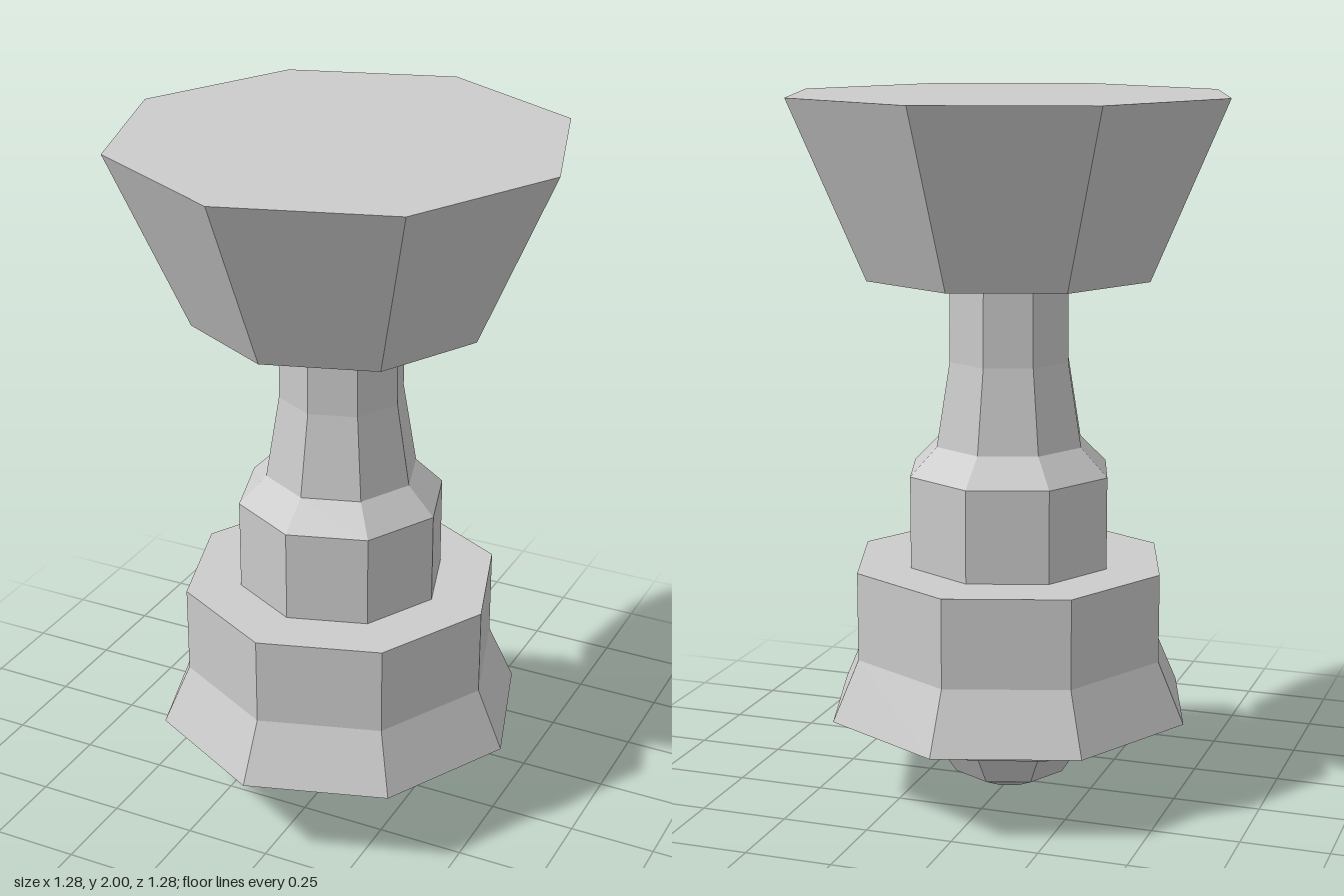
import * as THREE from 'three';

const SIDES = 8;
const TURN = -0.088; // slight twist of the octagon about the vertical axis

// Faceted turned part; profile is [radius, height] pairs from bottom to top
function turned(name, profile, material) {
  const points = profile.map(([r, y]) => new THREE.Vector2(r, y));
  const mesh = new THREE.Mesh(new THREE.LatheGeometry(points, SIDES, TURN), material);
  mesh.name = name;
  return mesh;
}

export function createModel() {
  const group = new THREE.Group();
  group.name = 'facetedPedestal';
  const material = new THREE.MeshStandardMaterial({ color: 0xcccccc, flatShading: true });

  // Neighbouring parts meet rim to rim, so the whole forms one closed skin
  const parts = {
    bottomTip: [[0, 0], [0.075, 0.006], [0.167, 0.048], [0.235, 0.153]],
    thinRing: [[0.235, 0.153], [0.285, 0.153], [0.31, 0.175], [0.26, 0.175]],
    underside: [[0.26, 0.175], [0.36, 0.245], [0.538, 0.245]],
    base: [[0.538, 0.245], [0.46, 0.42], [0.46, 0.675], [0.3, 0.675]],
    collar: [[0.3, 0.675], [0.3, 0.94], [0.22, 1.02]],
    stem: [[0.22, 1.02], [0.18, 1.26], [0.178, 1.5]],
    cup: [[0.178, 1.5], [0.42, 1.5], [0.64, 2], [0, 2]],
  };
  for (const [name, profile] of Object.entries(parts)) {
    group.add(turned(name, profile, material));
  }
  return group;
}
